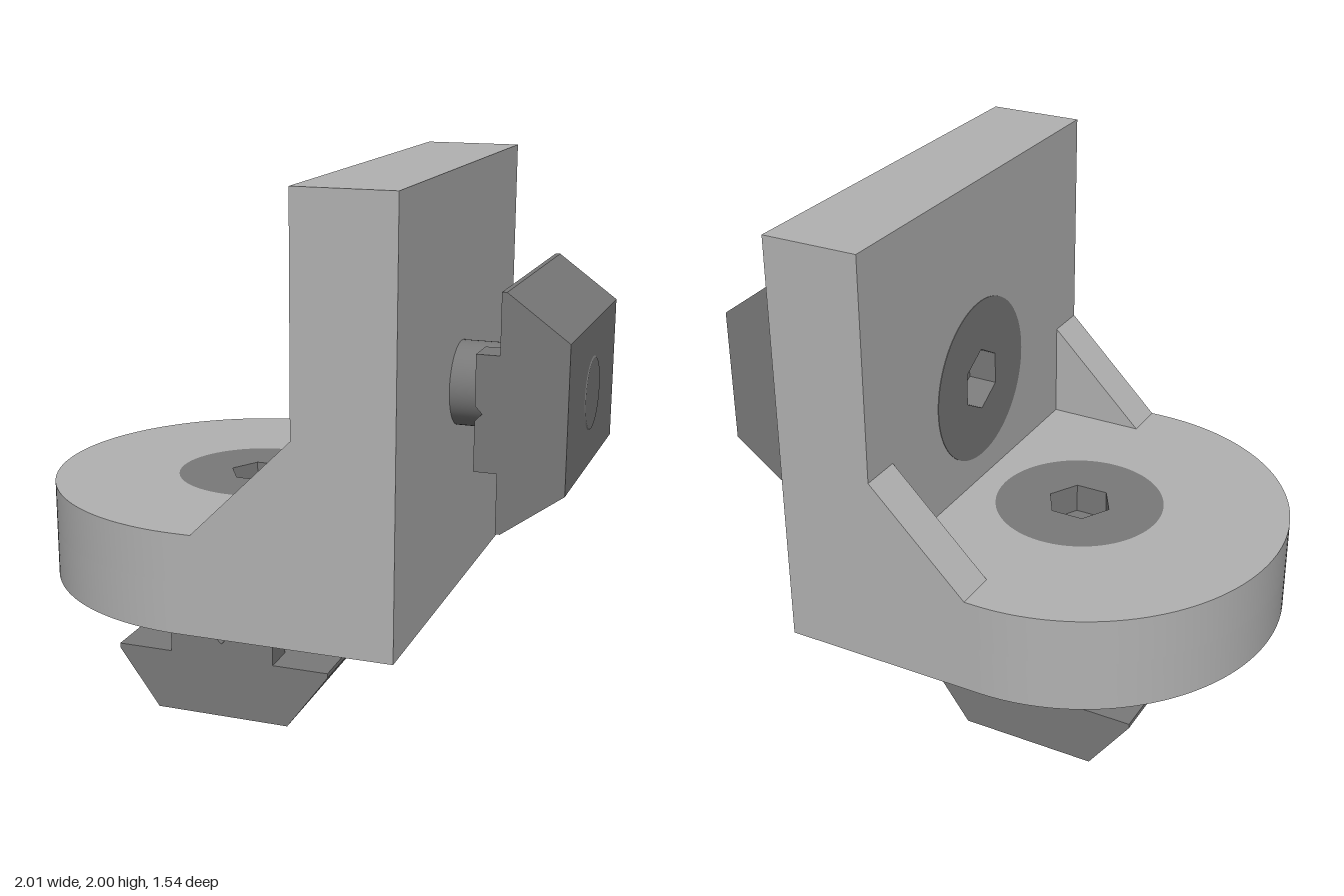
import * as THREE from 'three';
import { toCreasedNormals } from 'three/addons/utils/BufferGeometryUtils.js';

const HEAD_R = 0.31, SHANK_R = 0.152, AXIS_X = -0.23, AXIS_Y = 1.235;

// Extrude an outline along z, keeping hard edges and smooth curves.
function extrude(shape, z0, z1) {
  const g = new THREE.ExtrudeGeometry(shape, { depth: z1 - z0, bevelEnabled: false, curveSegments: 40 });
  return toCreasedNormals(g.translate(0, 0, z0), 0.5);
}

// Extrude a plan outline (x, -z) upwards from y0 to y1.
const slab = (shape, y0, y1) => extrude(shape, y0, y1).rotateX(-Math.PI / 2);

const outline = (pts) => new THREE.Shape(pts.map(([x, y]) => new THREE.Vector2(x, y)));

function circleHole(x, y, r) {
  return new THREE.Path().absarc(x, y, r, 0, Math.PI * 2, true);
}

function add(parent, name, geometry, material) {
  const mesh = new THREE.Mesh(geometry, material);
  mesh.name = name;
  parent.add(mesh);
  return mesh;
}

// One quarter of the nut's neck, hollowed around the screw.
function neckQuarter(sx, sz, inner, y0, y1) {
  const R = 0.35, pts = [];
  for (let i = 0; i <= 8; i++) {
    const x = inner + (0.2 - inner) * i / 8;
    pts.push([sx * x, sz * Math.sqrt(R * R - x * x)]);
  }
  pts.push([sx * 0.2, sz * 0.41], [sx * inner, sz * 0.41]);
  return slab(outline(pts), y0, y1);
}

// Screw and slot nut standing on y = 0, with the screw head on top.
function makeFastener(steel) {
  const group = new THREE.Group();

  // Countersunk head with a hexagonal socket
  const head = new THREE.Shape().absarc(0, 0, HEAD_R, 0, Math.PI * 2, false);
  const hex = [];
  for (let i = 0; i < 6; i++) {
    const a = -i * Math.PI / 3;
    hex.push(new THREE.Vector2(0.12 * Math.cos(a), 0.12 * Math.sin(a)));
  }
  head.holes.push(new THREE.Path(hex));
  add(group, 'screwHead', slab(head, 0.65, 0.825), steel);

  // Shank, whose top is the socket floor
  const shank = new THREE.CylinderGeometry(SHANK_R, SHANK_R, 0.615, 48).translate(0, 0.4075, 0);
  add(group, 'screwShank', shank, steel);

  // Wedge-shaped nut body
  const body = outline([[-0.255, 0], [0.255, 0], [0.41, 0.213], [0.41, 0.23], [-0.41, 0.23], [-0.41, 0.213]]);
  add(group, 'nutBody', extrude(body, -0.41, 0.41), steel);

  // Screw tip showing in the underside of the nut
  add(group, 'screwTip', new THREE.CylinderGeometry(0.135, 0.125, 0.006, 48), steel);

  // Neck with a small V notch at each end
  for (const sx of [-1, 1]) for (const sz of [-1, 1]) {
    add(group, 'nutNeck', neckQuarter(sx, sz, 0, 0.23, 0.285), steel);
    const top = neckQuarter(sx, sz, 0.026, 0.285, 0.31);
    const p = top.attributes.position;
    for (let i = 0; i < p.count; i++) {
      if (p.getY(i) < 0.29 && Math.abs(p.getX(i)) < 0.03) p.setX(i, 0);
    }
    top.computeVertexNormals();
    add(group, 'nutNeckRidge', top, steel);
  }
  return group;
}

export function createModel() {
  const model = new THREE.Group();
  model.name = 'angleBracket';
  const bracketGrey = new THREE.MeshStandardMaterial({ color: 0xb2b2b2 });
  bracketGrey.name = 'light grey';
  const steel = new THREE.MeshStandardMaterial({ color: 0x797979 });
  steel.name = 'dark grey';

  const bracket = new THREE.Group();
  bracket.name = 'bracket';
  model.add(bracket);

  // Round-ended base: solid lower layer, upper layer with the head recess
  const baseShape = () => new THREE.Shape()
    .moveTo(0.535, -0.77)
    .lineTo(0.535, 0.77)
    .lineTo(AXIS_X, 0.77)
    .absarc(AXIS_X, 0, 0.77, Math.PI / 2, Math.PI * 1.5, false);
  add(bracket, 'baseLower', slab(baseShape(), 0.465, 0.65), bracketGrey);
  const upper = baseShape();
  upper.holes.push(circleHole(AXIS_X, 0, HEAD_R));
  add(bracket, 'baseUpper', slab(upper, 0.65, 0.825), bracketGrey);

  // Upright wall: solid outer layer, inner layer with the head recess
  const wallOuter = new THREE.BoxGeometry(0.18, 1.175, 1.54).translate(0.445, 1.4125, 0);
  add(bracket, 'wallOuter', wallOuter, bracketGrey);
  const wall = outline([[-0.77, 0.825], [0.77, 0.825], [0.77, 2], [-0.77, 2]]);
  wall.holes.push(circleHole(0, AXIS_Y, HEAD_R));
  add(bracket, 'wallInner', extrude(wall, 0.18, 0.355).rotateY(Math.PI / 2), bracketGrey);

  // Corner gussets
  const gusset = outline([[-0.18, 0.825], [0.18, 0.825], [0.18, 1.185]]);
  for (const z of [-0.77, 0.615]) add(bracket, 'gusset', extrude(gusset, z, z + 0.155), bracketGrey);

  // Fasteners through the base and the wall
  const lower = makeFastener(steel);
  lower.name = 'baseFastener';
  lower.position.set(AXIS_X, 0, 0);
  const side = makeFastener(steel);
  side.name = 'wallFastener';
  side.position.set(1.003, AXIS_Y, 0);
  side.rotation.z = Math.PI / 2;
  model.add(lower, side);
  return model;
}
